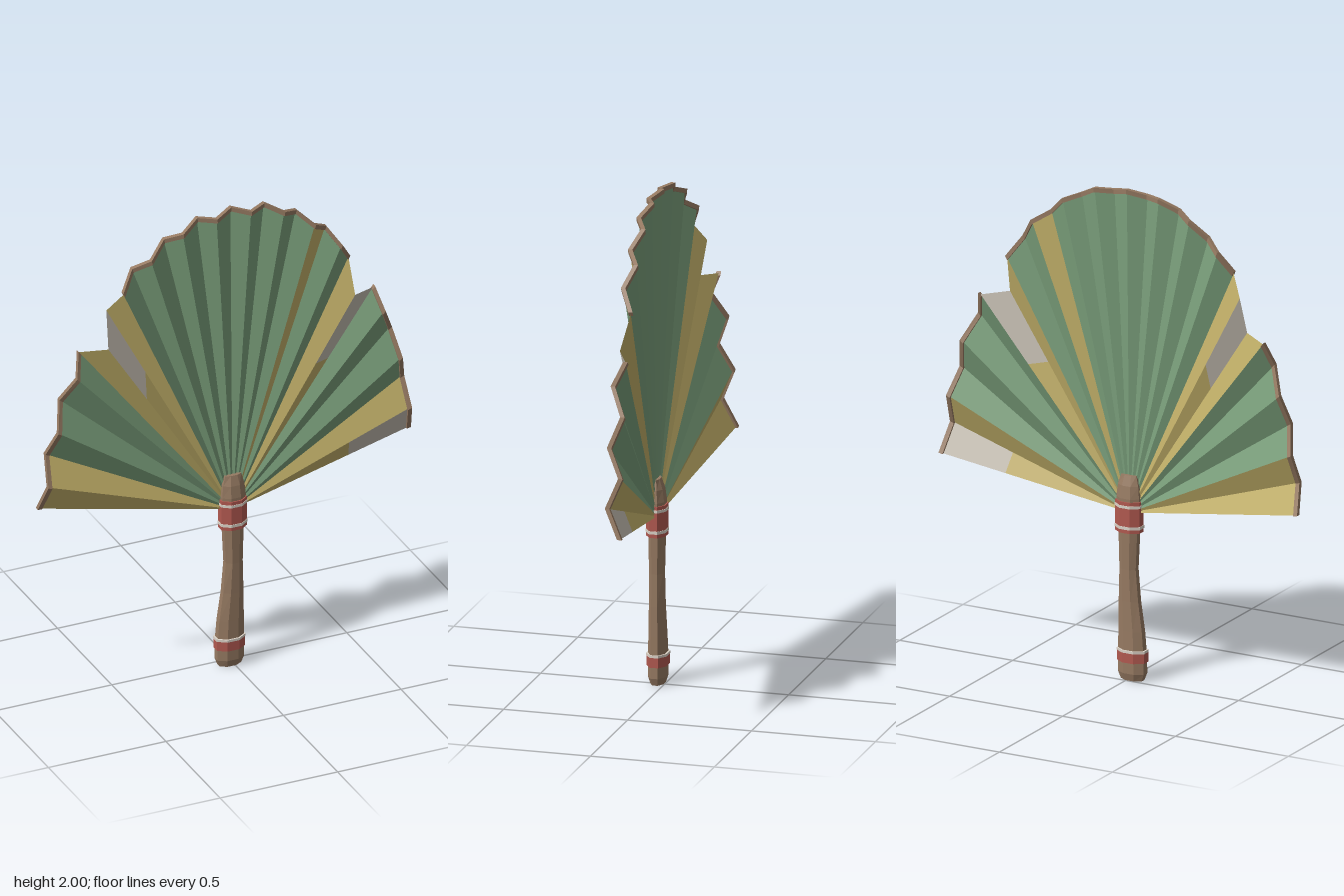
import * as THREE from 'three';

const mat = (name, color, side = THREE.FrontSide) => {
  const m = new THREE.MeshStandardMaterial({ color, side });
  m.name = name;
  return m;
};

// Flat-faced geometry from a list of triangle corners
function faceted(points) {
  const g = new THREE.BufferGeometry().setFromPoints(points);
  g.computeVertexNormals();
  return g;
}

// Quad a-b-c-d, counter-clockwise seen from its front
const quad = (a, b, c, d) => [a, b, c, a, c, d];

// Closed loft through rings of points (rings run counter-clockwise seen from the far end)
function loft(rings) {
  const out = [], n = rings[0].length;
  for (let i = 0; i < rings.length - 1; i++) {
    for (let j = 0; j < n; j++) {
      const k = (j + 1) % n;
      out.push(...quad(rings[i][j], rings[i][k], rings[i + 1][k], rings[i + 1][j]));
    }
  }
  const first = rings[0], last = rings[rings.length - 1];
  for (let j = 1; j < n - 1; j++) {
    out.push(first[0], first[j + 1], first[j], last[0], last[j], last[j + 1]);
  }
  return faceted(out);
}

// Flattened octagon ring of the handle
const HANDLE_Z = 0.03;
function octagon([y, cx, rx, rz]) {
  const s = 1 / Math.cos(Math.PI / 8);
  return Array.from({ length: 8 }, (_, i) => {
    const a = -(i + 0.5) * Math.PI / 4;
    return new THREE.Vector3(cx + rx * s * Math.cos(a), y, HANDLE_Z + rz * s * Math.sin(a));
  });
}

export function createModel() {
  const model = new THREE.Group();
  const green = mat('leaf green', 0x7a9f7b, THREE.DoubleSide);
  const yellow = mat('straw yellow', 0xc2b069, THREE.DoubleSide);
  const pale = mat('pale lining', 0xc3bcb0, THREE.DoubleSide);
  const wood = mat('wood brown', 0x967a62);
  const red = mat('binding red', 0xb25950);
  const cream = mat('binding cream', 0xdcd3c8);

  const add = (parent, name, geometry, material) => {
    const m = new THREE.Mesh(geometry, material);
    m.name = name;
    parent.add(m);
  };

  // Crease ends on one side, from the lowest tip up to the top centre
  const half = [
    [0.785, 0.815], [0.765, 0.93], [0.755, 1.05], [0.725, 1.16], [0.70, 1.28], [0.65, 1.385],
    [0.625, 1.48], [0.525, 1.495], [0.515, 1.645], [0.463, 1.725], [0.41, 1.805], [0.347, 1.845],
    [0.28, 1.91], [0.215, 1.935], [0.142, 1.975], [0.073, 1.97], [0, 1.99],
  ];
  const pivot = new THREE.Vector3(0, 0.675, HANDLE_Z);
  const crease = (i, side) => {
    const [x, y] = half[i];
    const t = (x / 0.79) ** 2;
    const z = i % 2 ? 0.043 - 0.045 * t : 0.01 - 0.065 * t;
    return new THREE.Vector3(x * side, y, z);
  };

  // Panel colours; each pale tip starts at a fraction of the panel's length
  const sides = [
    { side: -1, name: 'right', yellow: [0, 1, 6, 7, 8], tips: { 7: 0.69 } },
    { side: 1, name: 'left', yellow: [0, 1, 6, 7, 10], tips: { 0: 0.66, 6: 0.68 } },
  ];
  const bare = [6, 7]; // torn panels without a rim

  const fan = new THREE.Group();
  fan.name = 'pleatedFan';
  model.add(fan);
  for (const s of sides) {
    const tris = { green: [], yellow: [], pale: [] };
    for (let i = 0; i < 16; i++) {
      let a = crease(i, s.side), b = crease(i + 1, s.side);
      if (s.side < 0) [a, b] = [b, a];
      const base = s.yellow.includes(i) ? 'yellow' : 'green';
      const f = s.tips[i];
      if (f) {
        const ia = pivot.clone().lerp(a, f), ib = pivot.clone().lerp(b, f);
        tris[base].push(pivot, ia, ib);
        tris.pale.push(...quad(ia, a, b, ib));
      } else {
        tris[base].push(pivot, a, b);
      }

      // Wooden rim strip following the zigzag edge
      if (bare.includes(i) || (s.side < 0 && i === 8)) continue;
      const section = p => {
        const r = p.clone().sub(pivot).setZ(0).normalize();
        return [[-0.009, -0.009], [-0.009, 0.009], [0.009, 0.009], [0.009, -0.009]].map(
          ([u, w]) => p.clone().addScaledVector(r, u).add(new THREE.Vector3(0, 0, w)));
      };
      add(fan, 'rimStrip', loft([section(a), section(b)]), wood);
    }
    add(fan, s.name + 'GreenPleats', faceted(tris.green), green);
    add(fan, s.name + 'YellowPleats', faceted(tris.yellow), yellow);
    add(fan, s.name + 'PaleTips', faceted(tris.pale), pale);
  }

  // Slightly bent handle: rows of height, x centre, half width, half depth
  const handle = new THREE.Group();
  handle.name = 'handle';
  model.add(handle);
  add(handle, 'grip', loft([
    [0, -0.014, 0.046, 0.026], [0.03, -0.014, 0.057, 0.035], [0.1, -0.014, 0.056, 0.035],
    [0.2, -0.01, 0.052, 0.032], [0.32, -0.002, 0.043, 0.029], [0.45, 0.002, 0.036, 0.028],
    [0.62, 0, 0.042, 0.031],
  ].map(octagon)), wood);
  add(handle, 'head', loft([
    [0.6, 0, 0.045, 0.033], [0.74, 0, 0.05, 0.034], [0.79, 0, 0.045, 0.027], [0.83, 0, 0.034, 0.014],
  ].map(octagon)), wood);

  // Bindings: bottom, top, x centre, half width, half depth, material
  const bands = [
    [0.075, 0.115, -0.014, 0.06, 0.04, red], [0.115, 0.125, -0.014, 0.061, 0.041, cream],
    [0.602, 0.617, 0, 0.054, 0.039, red], [0.617, 0.629, 0, 0.056, 0.041, cream],
    [0.629, 0.703, 0, 0.054, 0.039, red], [0.703, 0.714, 0, 0.056, 0.041, cream],
    [0.714, 0.728, 0, 0.054, 0.039, red],
  ];
  for (const [y0, y1, cx, rx, rz, m] of bands) {
    add(handle, 'binding', loft([octagon([y0, cx, rx, rz]), octagon([y1, cx, rx, rz])]), m);
  }
  return model;
}
